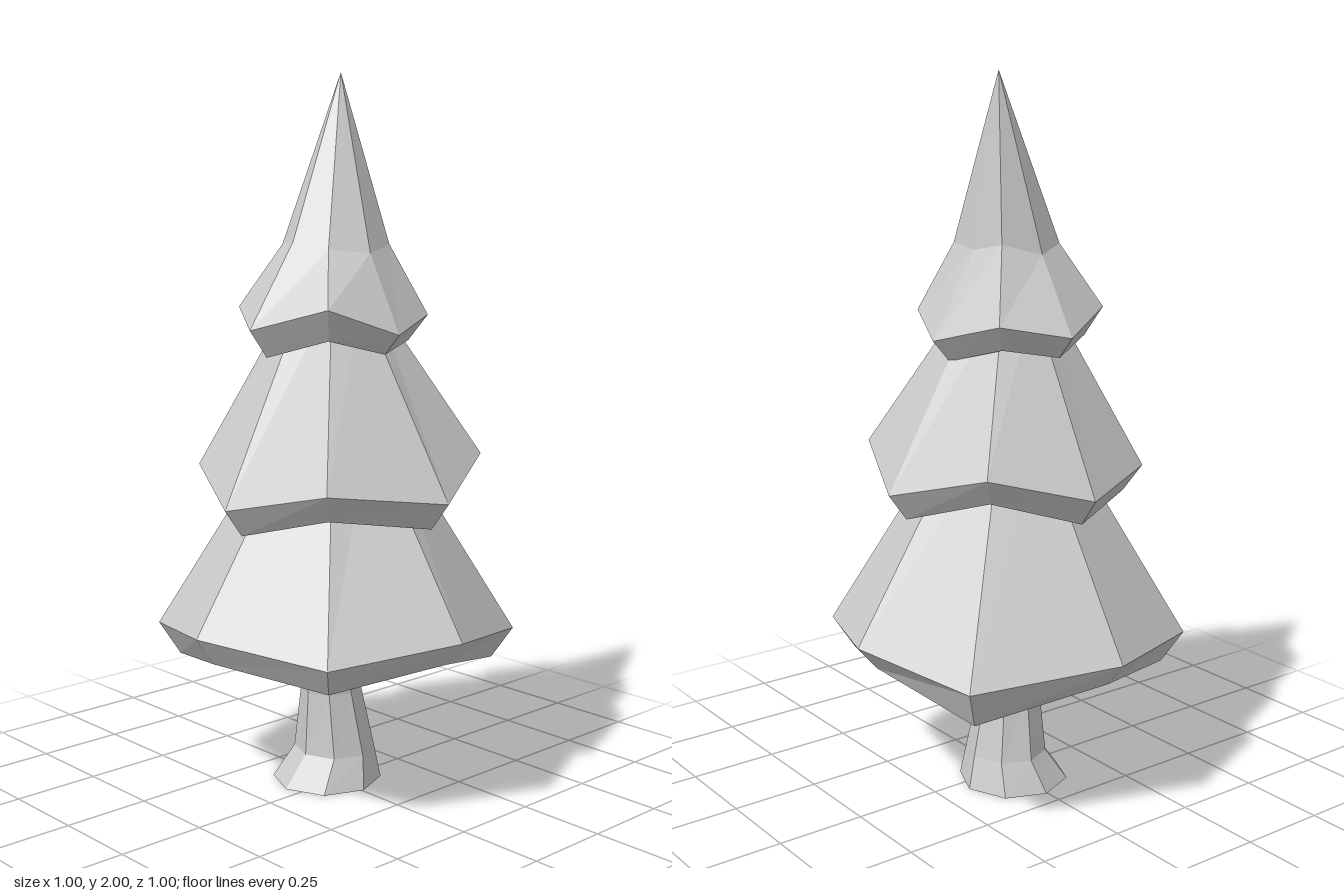
import * as THREE from 'three';

const SIDES = 8;

// Skin a list of 8-point rings; the rings run back, +x, front, -x
function loft(name, rings) {
  const pos = [];
  const tri = (a, b, c) => {
    const area = b.clone().sub(a).cross(c.clone().sub(a)).length();
    if (area > 1e-7) pos.push(...a.toArray(), ...b.toArray(), ...c.toArray());
  };
  for (let r = 0; r < rings.length - 1; r++) {
    const lo = rings[r], hi = rings[r + 1];
    for (let i = 0; i < SIDES; i++) {
      const j = (i + 1) % SIDES;
      tri(lo[i], hi[i], lo[j]);
      tri(lo[j], hi[i], hi[j]);
    }
  }
  const geo = new THREE.BufferGeometry();
  geo.setAttribute('position', new THREE.Float32BufferAttribute(pos, 3));
  geo.computeVertexNormals();
  const mesh = new THREE.Mesh(geo, new THREE.MeshStandardMaterial({ color: 0xcccccc, flatShading: true }));
  mesh.name = name;
  return mesh;
}

const ring = (pts) => pts.map((p) => new THREE.Vector3(...p));

// Regular ring, elliptical, around a centre
const oval = (x, y, z, rx, rz = rx, turn = 0) => Array.from({ length: SIDES }, (_, i) => {
  const a = (i + turn) / SIDES * Math.PI * 2;
  return new THREE.Vector3(x + Math.sin(a) * rx, y, z - Math.cos(a) * rz);
});

// Lower edge of the rim: drawn in towards the centre and dropped
const lowerRim = (rim, cx, cz, scale, drops) => rim.map((p, i) => new THREE.Vector3(
  cx + (p.x - cx) * scale, p.y - drops[i], cz + (p.z - cz) * scale));

export function createModel() {
  const tree = new THREE.Group();
  tree.name = 'pineTree';

  // Slightly bent trunk with a flared foot
  tree.add(loft('trunk', [
    oval(0.005, 0, -0.045, 0, 0),
    oval(0.005, 0, -0.045, 0.157, 0.155),
    oval(0.025, 0.09, -0.035, 0.112, 0.12),
    oval(0.012, 0.27, -0.035, 0.088, 0.085),
    oval(-0.005, 0.45, -0.04, 0.092, 0.09),
    oval(-0.01, 0.85, -0.02, 0.08, 0.08),
  ]));

  // Bottom skirt of branches, hollow underneath
  const rim1 = ring([
    [-0.005, 0.48, -0.505], [0.39, 0.45, -0.365], [0.495, 0.49, 0], [0.37, 0.455, 0.34],
    [-0.015, 0.52, 0.5], [-0.35, 0.48, 0.345], [-0.5, 0.52, 0], [-0.345, 0.46, -0.375],
  ]);
  tree.add(loft('bottomBranches', [
    oval(-0.01, 0.9, 0, 0),
    oval(-0.01, 0.84, 0, 0.15),
    lowerRim(rim1, 0, 0, 0.88, [0.07, 0.11, 0.07, 0.085, 0.07, 0.08, 0.08, 0.09]),
    rim1,
    oval(-0.015, 1.05, 0.01, 0.14),
  ]));

  // Middle skirt
  const rim2 = ring([
    [-0.005, 0.9, -0.385], [0.255, 0.97, -0.26], [0.375, 0.89, 0.02], [0.25, 0.97, 0.315],
    [-0.01, 0.88, 0.44], [-0.315, 0.92, 0.305], [-0.415, 0.855, 0.02], [-0.285, 0.93, -0.255],
  ]);
  tree.add(loft('middleBranches', [
    oval(-0.02, 1.12, 0.015, 0),
    oval(-0.02, 1.08, 0.015, 0.15),
    lowerRim(rim2, -0.02, 0.02, 0.86, Array(SIDES).fill(0.075)),
    rim2,
    oval(-0.02, 1.4, 0.01, 0.11),
  ]));

  // Top skirt narrowing to a leaning tip
  const rim3 = ring([
    [-0.02, 1.315, -0.265], [0.155, 1.35, -0.18], [0.23, 1.295, 0.015], [0.15, 1.35, 0.205],
    [-0.03, 1.31, 0.275], [-0.21, 1.38, 0.195], [-0.305, 1.32, -0.005], [-0.21, 1.37, -0.165],
  ]);
  const neck = ring([
    [-0.03, 1.52, -0.125], [0.075, 1.55, -0.085], [0.095, 1.53, 0.01], [0.085, 1.54, 0.12],
    [-0.03, 1.52, 0.165], [-0.13, 1.53, 0.11], [-0.17, 1.55, 0.015], [-0.125, 1.54, -0.08],
  ]);
  tree.add(loft('topBranches', [
    oval(-0.03, 1.46, 0.01, 0),
    oval(-0.03, 1.42, 0.01, 0.12),
    lowerRim(rim3, -0.03, 0.01, 0.8, [0.06, 0.07, 0.06, 0.07, 0.055, 0.085, 0.075, 0.08]),
    rim3,
    neck,
    oval(0.04, 2, -0.025, 0),
  ]));

  return tree;
}
